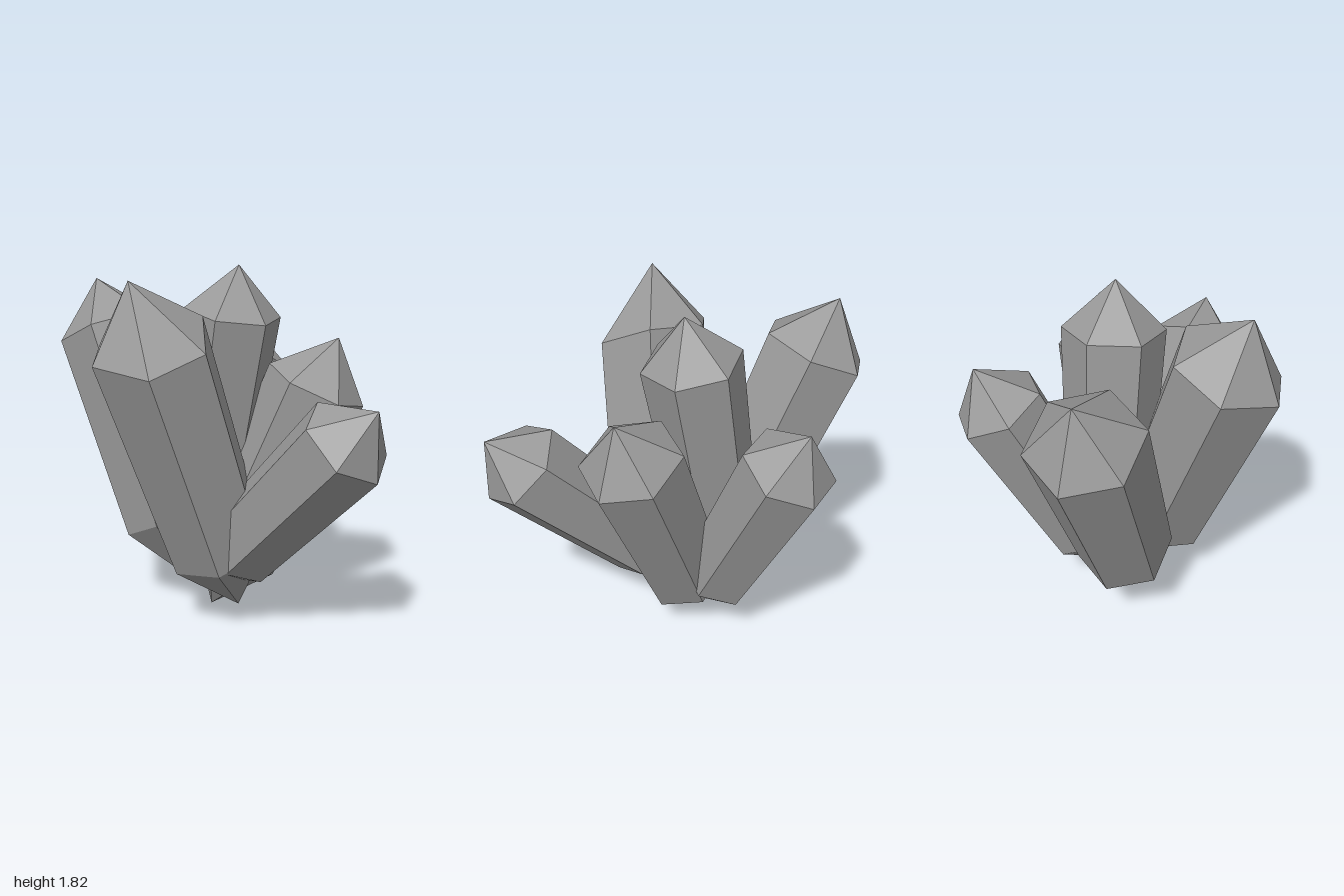
import * as THREE from 'three';

const SIDES = 6;
const LOWER = 0.187; // lower shoulder, as a fraction of the length
const UPPER = 0.834; // upper shoulder
const TAPER = 0.87; // lower shoulder radius relative to the upper one

// base point, tip, and one corner of the upper shoulder (sets radius and twist);
// facetDrop lowers one facet of the head further down the shaft
const CRYSTALS = [
  { name: 'centreCrystal', base: [0.045, 0.35, -0.205], tip: [0.08, 1.82, 0.03], corner: [0.04, 1.535, 0.24] },
  { name: 'leaningFrontCrystal', base: [-0.115, 0.215, 0.01], tip: [-0.075, 1.24, 0.995], corner: [-0.08, 0.905, 1.005] },
  { name: 'backCrystal', base: [-0.095, 0.15, -0.16], tip: [-0.085, 1.705, -0.855], corner: [-0.1, 1.565, -0.48] },
  { name: 'rightCrystal', base: [-0.03, 0.06, 0.13], tip: [-0.62, 1.79, -0.035], corner: [-0.79, 1.41, -0.11], facetDrop: 0.085 },
  { name: 'frontLeftCrystal', base: [-0.01, 0, -0.08], tip: [0.35, 1.465, 0.46], corner: [0.425, 1.11, 0.565] },
  { name: 'backLeftCrystal', base: [0.1, 0.1, -0.06], tip: [0.655, 1.425, -0.38], corner: [0.78, 1.11, -0.36] },
];

// A six-sided, double-pointed crystal lying along the line from base to tip
function makeCrystal({ name, base, tip, corner, facetDrop = 0 }, material) {
  const start = new THREE.Vector3(...base);
  const axis = new THREE.Vector3(...tip).sub(start);
  const length = axis.length();
  axis.normalize();

  // Spoke from the axis to the given shoulder corner
  const spoke = new THREE.Vector3(...corner).sub(start);
  spoke.addScaledVector(axis, -spoke.dot(axis));
  const radius = spoke.length();
  spoke.normalize();

  const profile = [
    new THREE.Vector2(0, 0),
    new THREE.Vector2(radius * TAPER, length * LOWER),
    new THREE.Vector2(radius, length * UPPER),
    new THREE.Vector2(0, length),
  ];
  const geometry = new THREE.LatheGeometry(profile, SIDES);

  // Slide the two shoulder corners of one facet down the shaft
  const position = geometry.attributes.position;
  for (const column of [1, 2]) {
    const index = column * profile.length + 2;
    position.setY(index, position.getY(index) - facetDrop);
  }

  const mesh = new THREE.Mesh(geometry, material);
  mesh.name = name;

  // Stand the lathe's y along the axis and its first corner (z) along the spoke
  const side = new THREE.Vector3().crossVectors(axis, spoke);
  mesh.quaternion.setFromRotationMatrix(new THREE.Matrix4().makeBasis(side, axis, spoke));
  mesh.position.copy(start);
  return mesh;
}

export function createModel() {
  const group = new THREE.Group();
  group.name = 'crystalCluster';
  const material = new THREE.MeshStandardMaterial({ color: 0x999999, flatShading: true });
  for (const crystal of CRYSTALS) group.add(makeCrystal(crystal, material));
  return group;
}
